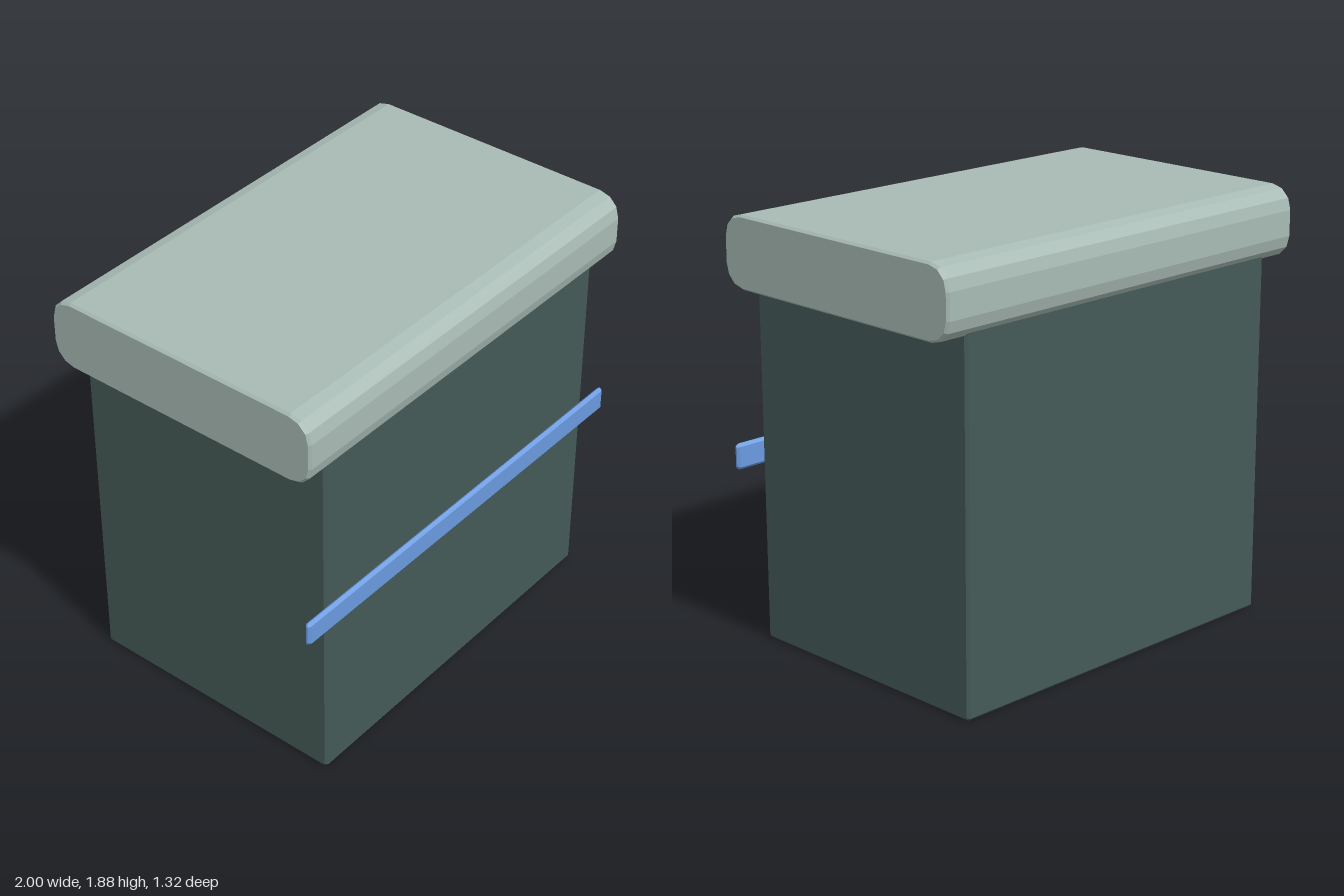
import * as THREE from 'three';

const BEVEL = 0.012;

// Bar running along x: rounded (z, y) profile with a chamfer at both ends
function bar(name, color, [w, h, d], [y, z], radius, steps) {
  const shape = new THREE.Shape();
  const corners = [[1, 1], [-1, 1], [-1, -1], [1, -1]];
  const points = [];
  corners.forEach(([sx, sy], i) => {
    for (let k = 0; k <= steps; k++) {
      const a = (i + k / steps) * Math.PI / 2;
      points.push(new THREE.Vector2(
        sx * (d / 2 - radius) + radius * Math.cos(a),
        sy * (h / 2 - radius) + radius * Math.sin(a)));
    }
  });
  shape.setFromPoints(points);
  const geometry = new THREE.ExtrudeGeometry(shape, {
    depth: w - 2 * BEVEL, bevelEnabled: true, bevelSegments: 1,
    bevelThickness: BEVEL, bevelSize: BEVEL * 0.8, bevelOffset: -BEVEL * 0.8,
  });
  geometry.translate(0, 0, BEVEL - w / 2);
  geometry.rotateY(Math.PI / 2);
  const mesh = new THREE.Mesh(geometry,
    new THREE.MeshStandardMaterial({ color, flatShading: true }));
  mesh.name = name;
  mesh.position.set(0, y, z);
  return mesh;
}

export function createModel() {
  const group = new THREE.Group();
  group.name = 'liddedBin';
  group.add(
    // Tall box body, its top tucked into the lid
    bar('body', 0x445a57, [1.74, 1.6, 1.235], [0.8, 0], BEVEL, 1),
    // Overhanging lid with faceted long edges
    bar('lid', 0xa8bab4, [2, 0.312, 1.315], [1.72, 0], 0.1, 3),
    // Thin strip across the front
    bar('frontStrip', 0x6a9ae0, [2, 0.114, 0.027], [0.837, 0.631], 0.0125, 1),
  );
  return group;
}
